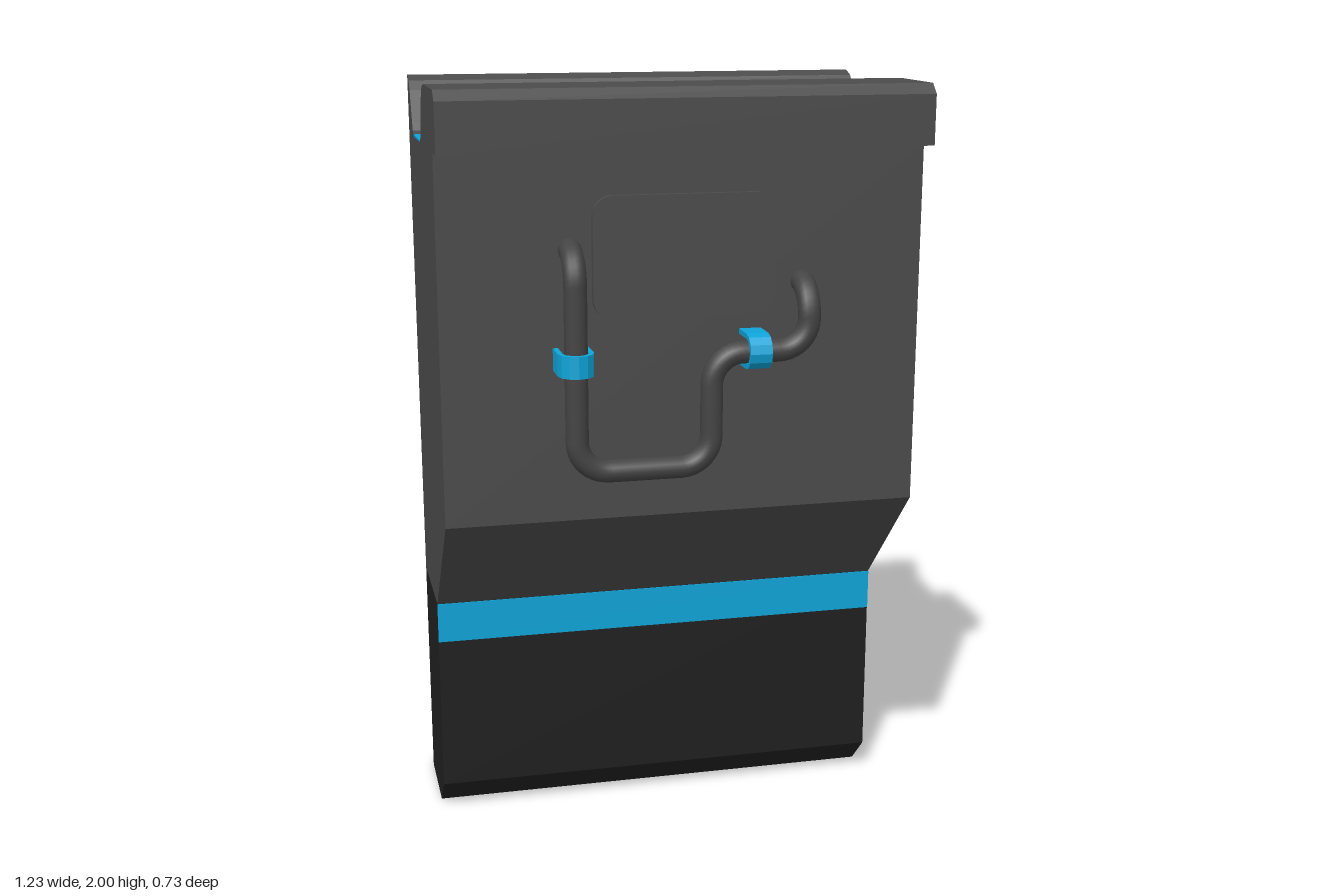
import * as THREE from 'three';

const WIDTH = 1.226;

function material(name, color) {
  const m = new THREE.MeshStandardMaterial({ color });
  m.name = name;
  return m;
}

// Extrudes a side profile of [z, y] points across the full width
function profileBlock(points) {
  const shape = new THREE.Shape(points.map(([z, y]) => new THREE.Vector2(z, y)));
  const geo = new THREE.ExtrudeGeometry(shape, { depth: WIDTH, bevelEnabled: false });
  return geo.translate(0, 0, -WIDTH / 2).rotateY(-Math.PI / 2);
}

function roundedPlate(w, h, r, depth) {
  const x = w / 2, y = h / 2, s = new THREE.Shape();
  s.absarc(x - r, y - r, r, 0, Math.PI / 2);
  s.absarc(-x + r, y - r, r, Math.PI / 2, Math.PI);
  s.absarc(-x + r, -y + r, r, Math.PI, Math.PI * 1.5);
  s.absarc(x - r, -y + r, r, Math.PI * 1.5, Math.PI * 2);
  return new THREE.ExtrudeGeometry(s, { depth, bevelEnabled: false, curveSegments: 6 });
}

// Polyline with filleted corners
function filletedPath(points, radius) {
  const path = new THREE.CurvePath();
  const v = points.map((p) => new THREE.Vector3(...p));
  let last = v[0];
  for (let i = 1; i < v.length - 1; i++) {
    const toward = (q) => v[i].clone().add(q.clone().sub(v[i]).setLength(radius));
    const a = toward(v[i - 1]), b = toward(v[i + 1]);
    const k = 0.552;
    path.add(new THREE.LineCurve3(last, a));
    path.add(new THREE.CubicBezierCurve3(a, a.clone().lerp(v[i], k), b.clone().lerp(v[i], k), b));
    last = b;
  }
  path.add(new THREE.LineCurve3(last, v[v.length - 1]));
  return path;
}

// U-shaped strap, open toward the wall, wrapping a vertical pipe
function strapGeometry(width) {
  const outline = [], legs = 0.075, steps = 6;
  const arc = (r, i) => new THREE.Vector2(r * Math.cos((Math.PI * i) / steps), r * Math.sin((Math.PI * i) / steps));
  outline.push(new THREE.Vector2(0.045, -legs));
  for (let i = 0; i <= steps; i++) outline.push(arc(0.045, i));
  outline.push(new THREE.Vector2(-0.045, -legs), new THREE.Vector2(-0.032, -legs));
  for (let i = steps; i >= 0; i--) outline.push(arc(0.032, i));
  outline.push(new THREE.Vector2(0.032, -legs));
  const geo = new THREE.ExtrudeGeometry(new THREE.Shape(outline), { depth: width, bevelEnabled: false });
  return geo.translate(0, 0, -width / 2).rotateX(Math.PI / 2);
}

export function createModel() {
  const group = new THREE.Group();
  const grey = material('grey shell', 0x4b4b4b);
  const black = material('black base', 0x202020);
  const blue = material('blue accent', 0x0fa5d8);
  const pipeGrey = material('pipe grey', 0x444444);

  const add = (name, geo, mat, x = 0, y = 0, z = 0) => {
    const mesh = new THREE.Mesh(geo, mat);
    mesh.name = name;
    mesh.position.set(x, y, z);
    group.add(mesh);
    return mesh;
  };

  // Lower block with chamfered toe
  add('base', profileBlock([
    [-0.365, 0], [-0.135, 0], [-0.05, 0.085], [-0.05, 0.618], [-0.365, 0.618],
  ]), black);

  // Upper shell with sloped underside, front lip and grooved top
  add('shell', profileBlock([
    [-0.365, 0.618], [-0.05, 0.618], [0.25, 0.925], [0.25, 1.85], [0.322, 1.85],
    [0.322, 1.975], [0.295, 2], [0.07, 2], [0.035, 1.991], [0.006, 1.962],
    [-0.03, 1.888], [-0.043, 1.862], [-0.065, 1.85], [-0.235, 1.85], [-0.256, 1.862],
    [-0.27, 1.885], [-0.308, 1.963], [-0.328, 1.987], [-0.365, 2],
  ]), grey);

  // Blue strips: groove floor and front band
  add('grooveStrip', new THREE.BoxGeometry(WIDTH, 0.006, 0.19), blue, 0, 1.851, -0.15);
  add('frontBand', new THREE.BoxGeometry(WIDTH, 0.109, 0.006), blue, 0, 0.563, -0.05);

  // Raised panel on the front
  add('panel', roundedPlate(0.464, 0.302, 0.05, 0.018), grey, -0.003, 1.591, 0.248);

  // Bent pipe fixed to the front
  const pipePath = filletedPath([
    [-0.29, 1.613, 0.24], [-0.29, 1.613, 0.324], [-0.29, 1.07, 0.324], [0.05, 1.07, 0.324],
    [0.05, 1.355, 0.324], [0.3, 1.355, 0.324], [0.3, 1.515, 0.324], [0.3, 1.515, 0.24],
  ], 0.079);
  add('pipe', new THREE.TubeGeometry(pipePath, 120, 0.029, 12, false), pipeGrey);

  // Pipe straps
  add('leftPipeStrap', strapGeometry(0.056), blue, -0.29, 1.343, 0.32);
  add('rightPipeStrap', strapGeometry(0.056).rotateZ(Math.PI / 2), blue, 0.167, 1.355, 0.32);

  return group;
}
